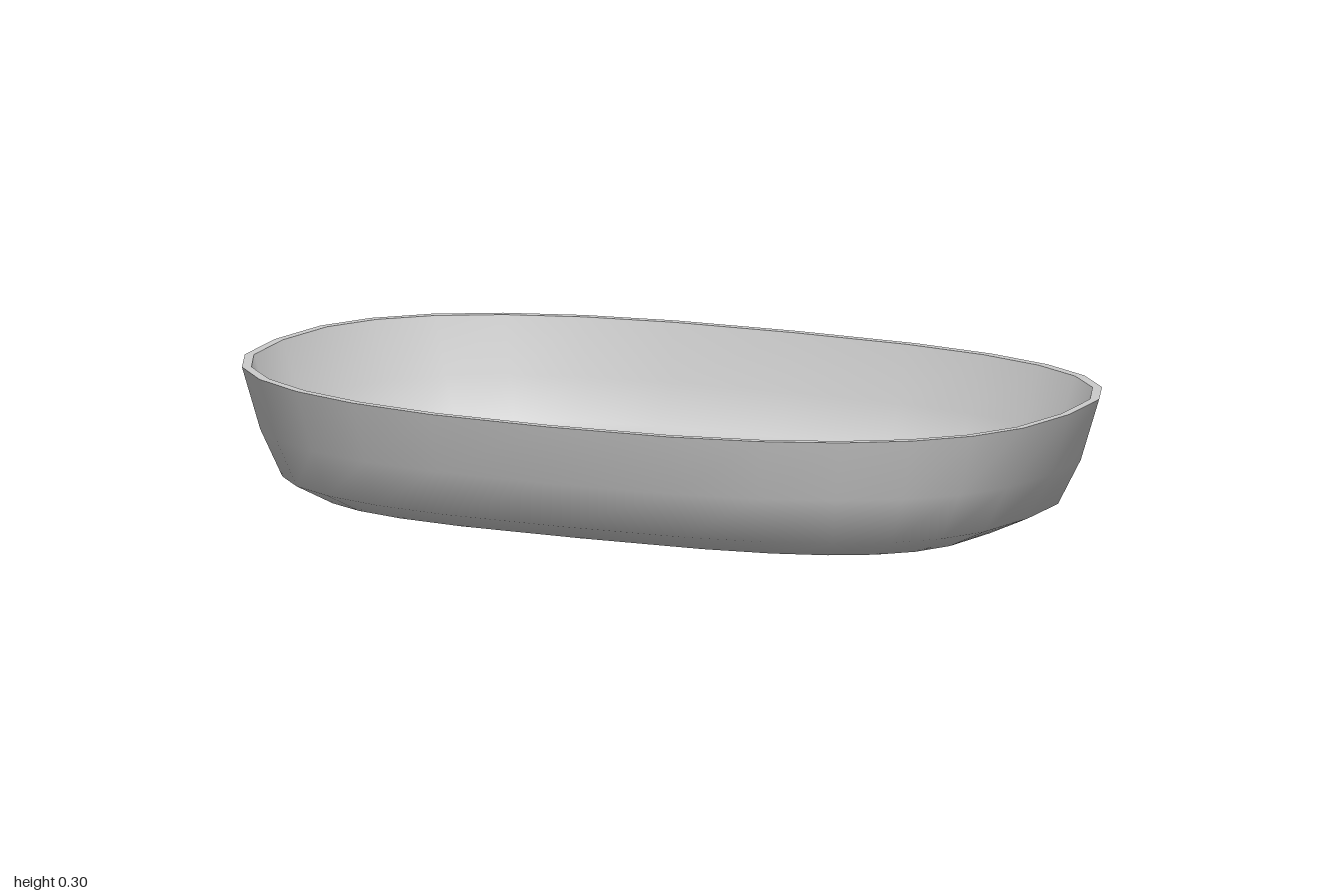
import * as THREE from 'three';

const SIDES = 28;

// Point on a rounded-rectangle ring: half width rx, half depth rz, squareness n
function ringPoint([rx, rz, y, n], j) {
  const t = (j / SIDES) * Math.PI * 2;
  const c = Math.cos(t), s = Math.sin(t);
  const x = Math.sign(c) * Math.abs(c) ** (2 / n);
  const z = Math.sign(s) * Math.abs(s) ** (2 / n);
  // the wall rises very slightly towards the two narrow ends
  const lift = y > 0.25 ? 0.005 * x * x : 0;
  return [rx * x, y + lift, rz * z];
}

// Smooth skin through a list of rings
function loft(name, rings, material) {
  const positions = [], index = [];
  rings.forEach((ring, i) => {
    for (let j = 0; j < SIDES; j++) {
      positions.push(...ringPoint(ring, j));
      if (i === rings.length - 1) continue;
      const a = i * SIDES + j, b = i * SIDES + (j + 1) % SIDES;
      const c = a + SIDES, d = b + SIDES;
      if (ring[0] > 0) index.push(a, c, b);
      if (rings[i + 1][0] > 0) index.push(b, c, d);
      else if (ring[0] > 0) index.push(b, c, d);
    }
  });
  const geometry = new THREE.BufferGeometry();
  geometry.setAttribute('position', new THREE.Float32BufferAttribute(positions, 3));
  geometry.setIndex(index);
  geometry.computeVertexNormals();
  const mesh = new THREE.Mesh(geometry, material);
  mesh.name = name;
  return mesh;
}

export function createModel() {
  const group = new THREE.Group();
  group.name = 'dish';
  const material = new THREE.MeshStandardMaterial({ color: 0xcccccc });

  const outerRim = [1, 0.635, 0.295, 2.5];
  const innerRim = [0.98, 0.613, 0.295, 2.5];

  // Underside and outer wall, from the middle of the base up to the rim
  group.add(loft('outerShell', [
    [0, 0, 0, 3],
    [0.5, 0.27, 0.002, 3],
    [0.8, 0.465, 0.01, 3.1],
    [0.895, 0.555, 0.052, 2.75],
    [0.955, 0.603, 0.158, 2.55],
    outerRim,
  ], material));

  // Narrow flat lip
  group.add(loft('rim', [outerRim, innerRim], material));

  // Inner wall and floor, from the rim down to the middle
  group.add(loft('innerShell', [
    innerRim,
    [0.933, 0.58, 0.165, 2.55],
    [0.875, 0.535, 0.07, 2.75],
    [0.785, 0.45, 0.03, 3.1],
    [0.5, 0.27, 0.022, 3],
    [0, 0, 0.02, 3],
  ], material));

  return group;
}
